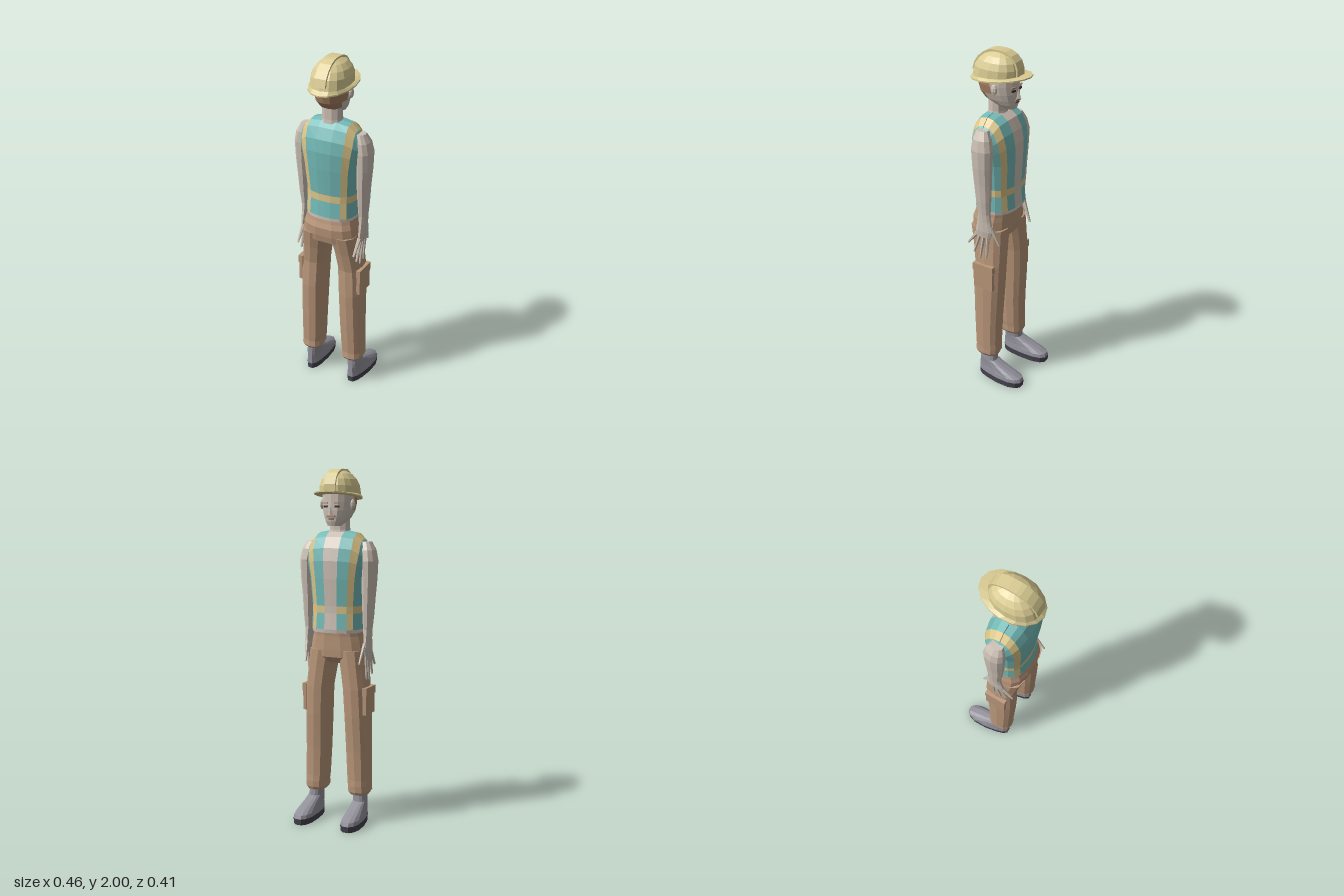
import * as THREE from 'three';

const mat = (name, color) => Object.assign(new THREE.MeshStandardMaterial({ color }), { name });
const M = {
  helmet: mat('helmetYellow', 0xd9cb92), vest: mat('vestTeal', 0x74bbb8), stripe: mat('stripeYellow', 0xdcc588),
  pants: mat('trouserBrown', 0xba977a), boot: mat('bootGrey', 0x92919b), sole: mat('soleDark', 0x46434f),
  skin: mat('skin', 0xcdc1b5), shirt: mat('shirtHem', 0xded6cc), hair: mat('hairBrown', 0xa98264),
  dark: mat('eyeDark', 0x3b3335),
};

// Horizontal cross-section: height, centre x, half width, back z, front z, roundness power
function ring([y, cx, rx, zb, zf, p = 2.3], n = 12) {
  const pts = [], e = (v) => Math.sign(v) * Math.abs(v) ** (2 / p);
  for (let i = 0; i < n; i++) {
    const a = (i / n) * Math.PI * 2;
    pts.push([cx + rx * e(Math.cos(a)), y, (zb + zf) / 2 + ((zb - zf) / 2) * e(Math.sin(a))]);
  }
  return pts;
}

// Faceted skin over a stack of rings (bottom to top), closed at both ends; pick chooses each face's colour
function skinOver(name, rings, pick) {
  const byMat = new Map();
  const add = (m, ...pts) => {
    if (!byMat.has(m)) byMat.set(m, []);
    byMat.get(m).push(...pts.flat());
  };
  const mean = (pts) => [0, 1, 2].map((k) => pts.reduce((s, p) => s + p[k], 0) / pts.length);
  const choose = typeof pick === 'function' ? pick : () => pick;
  const n = rings[0].length, last = rings.length - 1;
  const bottom = mean(rings[0]), top = mean(rings[last]);
  for (let i = 0; i < n; i++) {
    const j = (i + 1) % n;
    for (let r = 0; r < last; r++) {
      const a = rings[r][i], b = rings[r][j], c = rings[r + 1][j], d = rings[r + 1][i];
      add(choose(r, i, mean([a, b, c, d])), a, d, c, a, c, b);
    }
    add(choose(0, i, bottom), bottom, rings[0][i], rings[0][j]);
    add(choose(last - 1, i, top), top, rings[last][j], rings[last][i]);
  }
  const g = new THREE.BufferGeometry(), pos = [], mats = [...byMat.keys()];
  mats.forEach((m, k) => {
    const list = byMat.get(m);
    g.addGroup(pos.length / 3, list.length / 3, k);
    for (const v of list) pos.push(v);
  });
  g.setAttribute('position', new THREE.Float32BufferAttribute(pos, 3));
  g.computeVertexNormals();
  const mesh = new THREE.Mesh(g, mats.length > 1 ? mats : mats[0]);
  mesh.name = name;
  return mesh;
}

const loft = (name, rows, pick, n) => skinOver(name, rows.map((r) => ring(r, n)), pick);

function solid(name, geo, material, x, y, z) {
  const g = geo.index ? geo.toNonIndexed() : geo;
  g.computeVertexNormals();
  const m = new THREE.Mesh(g, material);
  m.name = name;
  m.position.set(x, y, z);
  return m;
}
const box = (name, w, h, d, material, x, y, z) => solid(name, new THREE.BoxGeometry(w, h, d), material, x, y, z);

// Tapered finger between two points
function finger(name, from, to) {
  const a = new THREE.Vector3(...from), b = new THREE.Vector3(...to), dir = b.clone().sub(a);
  const m = solid(name, new THREE.CylinderGeometry(0.006, 0.012, dir.length(), 6), M.skin, 0, 0, 0);
  m.position.copy(a).add(b).multiplyScalar(0.5);
  m.quaternion.setFromUnitVectors(new THREE.Vector3(0, 1, 0), dir.normalize());
  return m;
}

// Vest: columns at fixed width fractions so the stripes run over the shoulders
function makeVest() {
  const f = [1, 0.95, 0.82, 0.62, 0.25, 0];
  const half = [...f, ...f.slice(0, -1).reverse().map((v) => -v)];
  const cols = [...half.map((v) => [v, 1]), ...half.slice(1, -1).reverse().map((v) => [v, -1])];
  const rows = [
    [1.1, 0.146, 0.152, -0.08], [1.12, 0.15, 0.155, -0.085], [1.21, 0.147, 0.146, -0.077], [1.25, 0.147, 0.145, -0.077],
    [1.4, 0.16, 0.157, -0.085], [1.5, 0.175, 0.16, -0.086], [1.57, 0.186, 0.15, -0.072],
    [1.63, 0.186, 0.122, -0.04], [1.657, 0.184, 0.09, 0], [1.665, 0.182, 0.047, 0.043],
  ];
  const rings = rows.map(([y, a, zb, zf]) => cols.map(([x, side]) => {
    const drop = 0.09 * Math.max(0, (Math.abs(x) - 0.5) / 0.5) ** 1.5 * Math.max(0, (y - 1.4) / 0.26);
    const h = ((zb - zf) / 2) * (1 - Math.abs(x) ** 2.6) ** (1 / 2.6);
    return [x * a, y - drop, (zb + zf) / 2 + side * h];
  }));
  return skinOver('vest', rings, (r, i) => {
    const next = cols[(i + 1) % cols.length], x = Math.abs(cols[i][0] + next[0]) / 2;
    const front = cols[i][1] < 0 || next[1] < 0;
    if (r === 0) return M.shirt;
    if (front && x < 0.25) return M.skin;
    return r === 2 || (x > 0.62 && x < 0.82) ? M.stripe : M.vest;
  });
}

function makeHead() {
  const head = new THREE.Group();
  head.name = 'head';
  head.add(loft('neck', [[1.6, 0, 0.07, 0.11, -0.01], [1.67, 0, 0.057, 0.1, 0], [1.75, 0, 0.055, 0.1, 0]], M.skin, 10));
  head.add(loft('face', [
    [1.69, 0, 0.035, 0, -0.06], [1.715, 0, 0.056, 0.07, -0.068], [1.74, 0, 0.07, 0.118, -0.071],
    [1.775, 0, 0.082, 0.148, -0.072], [1.82, 0, 0.089, 0.16, -0.07], [1.88, 0, 0.089, 0.16, -0.068],
  ], (r, i, c) => (r > 0 && c[2] > (r > 2 ? 0.03 : 0.075) ? M.hair : M.skin), 16));
  const nose = solid('nose', new THREE.ConeGeometry(0.017, 0.05, 4), M.skin, 0, 1.775, -0.077);
  head.add(nose, box('moustache', 0.05, 0.012, 0.008, M.hair, 0, 1.742, -0.073));
  head.add(box('mouth', 0.03, 0.005, 0.006, M.dark, 0, 1.728, -0.07));
  for (const s of [-1, 1]) {
    const eye = box('eye', 0.024, 0.011, 0.008, M.dark, s * 0.034, 1.797, -0.067);
    const brow = box('eyebrow', 0.032, 0.007, 0.009, M.hair, s * 0.035, 1.815, -0.068);
    eye.rotation.y = brow.rotation.y = s * -0.25;
    const ear = solid('ear', new THREE.SphereGeometry(0.025, 8, 5), M.skin, s * 0.093, 1.808, 0.015);
    ear.scale.set(0.5, 1.15, 0.8);
    head.add(eye, brow, ear);
  }
  return head;
}

function makeHelmet() {
  const helmet = new THREE.Group();
  helmet.name = 'helmet';
  const dome = [
    [1.868, 0, 0.108, 0.187, -0.088], [1.91, 0, 0.104, 0.174, -0.087], [1.945, 0, 0.09, 0.15, -0.074],
    [1.973, 0, 0.066, 0.118, -0.048], [1.99, 0, 0.036, 0.083, -0.01], [1.994, 0, 0.012, 0.06, 0.02],
  ];
  const brim = [[1.851, 0, 0.125, 0.206, -0.15, 2], [1.858, 0, 0.125, 0.206, -0.15, 2]];
  // Brim and dome base lean up towards the front
  const rings = [...brim, ...dome].map((r, k) => ring(r, 16).map(([x, y, z]) =>
    [x, y - (k < 2 ? 0.127 : k < 3 ? 0.08 : 0) * (z - 0.03), z]));
  helmet.add(skinOver('shell', rings, M.helmet));
  // Raised centre band following the dome profile
  const profile = [
    ...dome.map(([y, , , zb]) => new THREE.Vector2(zb + 0.003, y + 0.006)),
    ...dome.map(([y, , , , zf]) => new THREE.Vector2(zf - 0.003, y + 0.006)).reverse(),
  ];
  const band = new THREE.ExtrudeGeometry(new THREE.Shape(profile), { depth: 0.066, bevelEnabled: false });
  band.rotateY(-Math.PI / 2);
  helmet.add(solid('centreBand', band, M.helmet, 0.033, 0, 0));
  return helmet;
}

function makeArm(s) {
  const arm = new THREE.Group();
  arm.name = s > 0 ? 'leftArm' : 'rightArm';
  const rows = [
    [0.97, 0.18, 0.012, 0.082, -0.012], [1.01, 0.181, 0.016, 0.083, -0.028], [1.07, 0.181, 0.018, 0.07, -0.016],
    [1.12, 0.18, 0.023, 0.065, -0.01], [1.2, 0.182, 0.029, 0.075, -0.015], [1.3, 0.183, 0.034, 0.084, -0.02],
    [1.4, 0.187, 0.039, 0.09, -0.025], [1.5, 0.187, 0.043, 0.095, -0.03], [1.56, 0.177, 0.042, 0.09, -0.018],
    [1.605, 0.165, 0.028, 0.075, 0.005],
  ];
  arm.add(loft('armAndPalm', rows.map(([y, x, ...r]) => [y, x * s, ...r]), M.skin, 10));
  const tips = [[0.072, 0.138, 0.905], [0.054, 0.1, 0.855], [0.03, 0.06, 0.825], [0.004, 0.018, 0.835]];
  for (const [z0, z1, y1] of tips) arm.add(finger('finger', [s * 0.18, 0.99, z0], [s * 0.177, y1, z1]));
  arm.add(finger('thumb', [s * 0.178, 1.04, -0.012], [s * 0.165, 0.93, -0.058]));
  return arm;
}

function makeLeg(s) {
  const leg = new THREE.Group();
  leg.name = s > 0 ? 'leftLeg' : 'rightLeg';
  const side = (rows) => rows.map(([y, x, ...r]) => [y, x * s, ...r]);
  leg.add(loft('trouserLeg', side([
    [0.163, 0.134, 0.054, 0.1, -0.03], [0.18, 0.134, 0.064, 0.112, -0.038], [0.215, 0.133, 0.063, 0.108, -0.04],
    [0.25, 0.131, 0.065, 0.11, -0.038], [0.42, 0.126, 0.068, 0.118, -0.042], [0.62, 0.121, 0.07, 0.124, -0.055],
    [0.78, 0.114, 0.071, 0.118, -0.06], [0.89, 0.1, 0.073, 0.135, -0.06], [1.0, 0.085, 0.08, 0.158, -0.06],
  ].map((r) => [...r, 2.6])), M.pants, 12));
  // Cargo pocket with a flap
  leg.add(box('cargoPocket', 0.022, 0.15, 0.125, M.pants, s * 0.186, 0.712, 0.032));
  leg.add(box('pocketFlap', 0.026, 0.045, 0.132, M.pants, s * 0.187, 0.77, 0.032));
  // Boot, narrower at the heel
  const cx = s * 0.147;
  const boot = [
    [0, cx, 0.057, 0.09, -0.203], [0.035, cx, 0.058, 0.092, -0.207], [0.055, cx, 0.055, 0.091, -0.2],
    [0.074, cx, 0.05, 0.09, -0.155], [0.1, cx, 0.047, 0.088, -0.085], [0.125, cx, 0.046, 0.086, -0.025],
    [0.175, s * 0.14, 0.044, 0.084, -0.018],
  ].map((r) => ring([...r, 2.6], 14).map(([x, y, z]) => {
    const heel = Math.min(1, Math.max(0, (z + 0.1) / 0.15));
    return [cx + (x - cx) * (1 - 0.22 * heel) - s * 0.008 * heel, y, z];
  }));
  leg.add(skinOver('boot', boot, (r) => (r === 0 ? M.sole : M.boot)));
  return leg;
}

export function createModel() {
  const model = new THREE.Group();
  model.name = 'worker';
  model.add(makeHelmet(), makeHead(), makeVest());
  model.add(loft('trouserSeat', [
    [0.925, 0, 0.1, 0.09, -0.03], [0.96, 0, 0.163, 0.155, -0.06], [1.0, 0, 0.165, 0.163, -0.062],
    [1.05, 0, 0.158, 0.166, -0.062], [1.08, 0, 0.149, 0.156, -0.062], [1.115, 0, 0.143, 0.148, -0.065],
  ].map((r) => [...r, 2.6]), M.pants, 14));
  for (const s of [-1, 1]) model.add(makeArm(s), makeLeg(s));
  return model;
}
